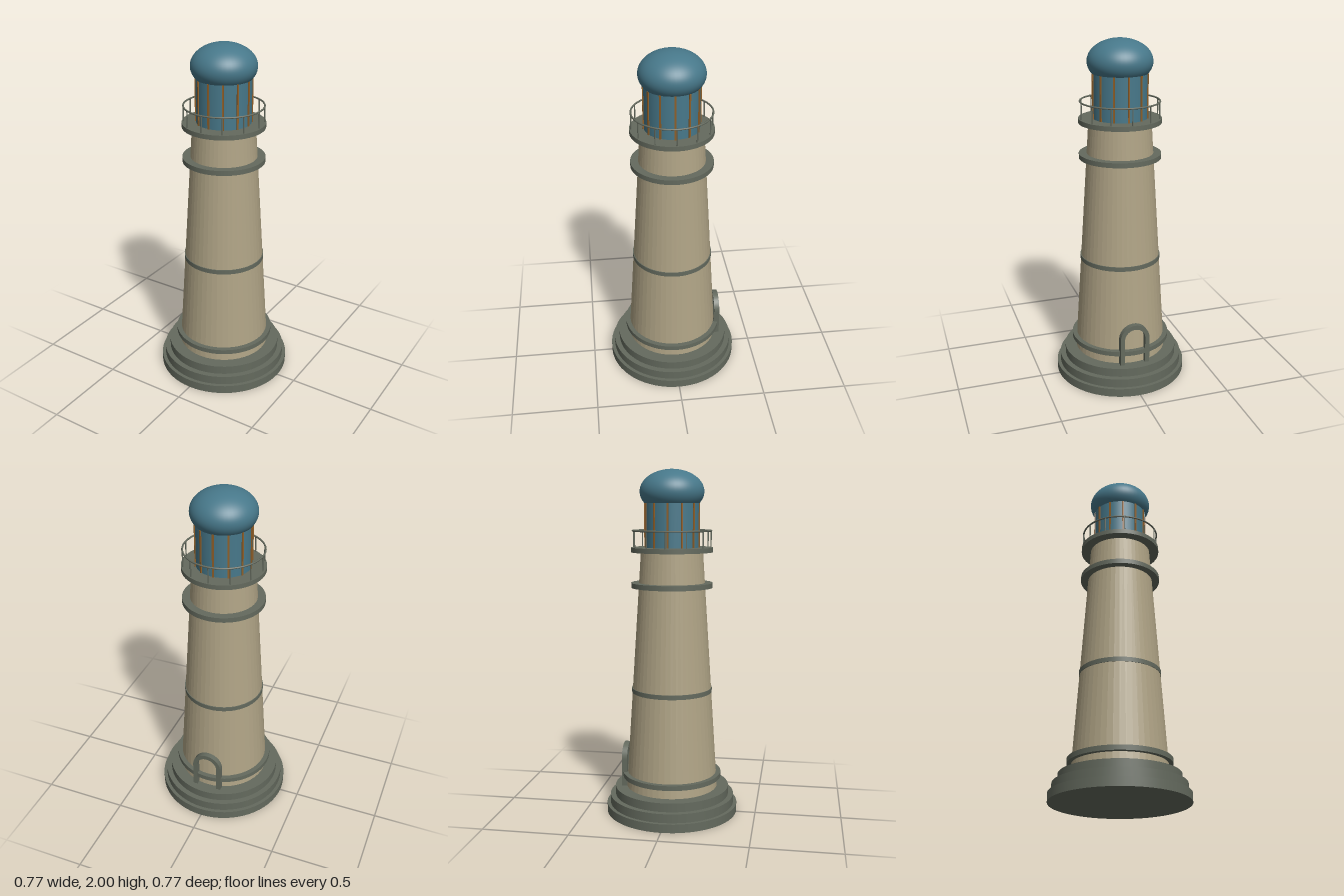
import * as THREE from 'three';

const stone = new THREE.MeshStandardMaterial({ color: 0xb0a486 });
stone.name = 'sandStone';
const grey = new THREE.MeshStandardMaterial({ color: 0x646a5e });
grey.name = 'greyTrim';
const blue = new THREE.MeshStandardMaterial({ color: 0x47788a });
blue.name = 'blueGlass';
const bronze = new THREE.MeshStandardMaterial({ color: 0x8f5f28 });
bronze.name = 'bronze';

export function createModel() {
  const model = new THREE.Group();
  model.name = 'lighthouse';

  const add = (name, geometry, material, parent = model) => {
    const mesh = new THREE.Mesh(geometry, material);
    mesh.name = name;
    parent.add(mesh);
    return mesh;
  };
  // Upright round drum between two heights
  const drum = (name, y0, y1, rBottom, rTop, material, sides = 64) => {
    const g = new THREE.CylinderGeometry(rTop, rBottom, y1 - y0, sides);
    g.translate(0, (y0 + y1) / 2, 0);
    return add(name, g, material);
  };
  // Copies of one part set evenly around the axis
  const ring = (name, count, radius, y, geometry, material) => {
    const group = new THREE.Group();
    group.name = name;
    for (let i = 0; i < count; i++) {
      const a = (i / count) * Math.PI * 2;
      const part = add(name + 'Part', geometry, material, group);
      part.position.set(Math.sin(a) * radius, y, Math.cos(a) * radius);
      part.rotation.y = a;
    }
    model.add(group);
  };

  // Stepped base
  drum('baseStepLower', 0, 0.05, 0.387, 0.387, grey);
  drum('baseStepMiddle', 0.05, 0.102, 0.367, 0.367, grey);
  drum('baseStepUpper', 0.102, 0.153, 0.336, 0.336, grey);

  // Faceted tapering tower
  const tower = drum('tower', 0.153, 1.537, 0.268, 0.178, stone, 48);
  tower.geometry = tower.geometry.toNonIndexed();
  tower.geometry.computeVertexNormals();

  // Trim bands and gallery floor
  drum('lowerBand', 0.21, 0.238, 0.29, 0.29, grey);
  drum('middleBand', 0.722, 0.748, 0.234, 0.234, grey);
  drum('upperBand', 1.333, 1.361, 0.234, 0.234, grey);
  drum('galleryFloor', 1.535, 1.562, 0.234, 0.234, grey);

  // Gallery railing
  const rail = add('galleryRail', new THREE.TorusGeometry(0.224, 0.005, 8, 64), grey);
  rail.rotation.x = Math.PI / 2;
  rail.position.y = 1.656;
  ring('railPost', 12, 0.224, 1.608, new THREE.CylinderGeometry(0.004, 0.004, 0.1, 8), grey);

  // Lantern room with bronze glazing bars
  drum('lantern', 1.56, 1.815, 0.154, 0.154, blue, 48);
  ring('glazingBar', 12, 0.155, 1.686, new THREE.BoxGeometry(0.01, 0.25, 0.01), bronze);

  // Flattened dome, cut off where it meets the lantern
  const dome = new THREE.SphereGeometry(1, 48, 24, 0, Math.PI * 2, 0, 2.118);
  dome.scale(0.183, 0.125, 0.183);
  dome.translate(0, 1.875, 0);
  add('dome', dome, blue);

  // Arched door frame at the back
  const outer = 0.088, inner = 0.062, foot = 0.153, spring = 0.312;
  const arch = new THREE.Shape();
  arch.moveTo(outer, foot);
  arch.lineTo(outer, spring);
  arch.absarc(0, spring, outer, 0, Math.PI, false);
  arch.lineTo(-outer, foot);
  arch.lineTo(-inner, foot);
  arch.lineTo(-inner, spring);
  arch.absarc(0, spring, inner, Math.PI, 0, true);
  arch.lineTo(inner, foot);
  arch.closePath();
  const frame = new THREE.ExtrudeGeometry(arch, { depth: 0.032, bevelEnabled: false, curveSegments: 24 });
  frame.translate(0, 0, -0.287);
  add('doorFrame', frame, grey);

  return model;
}
